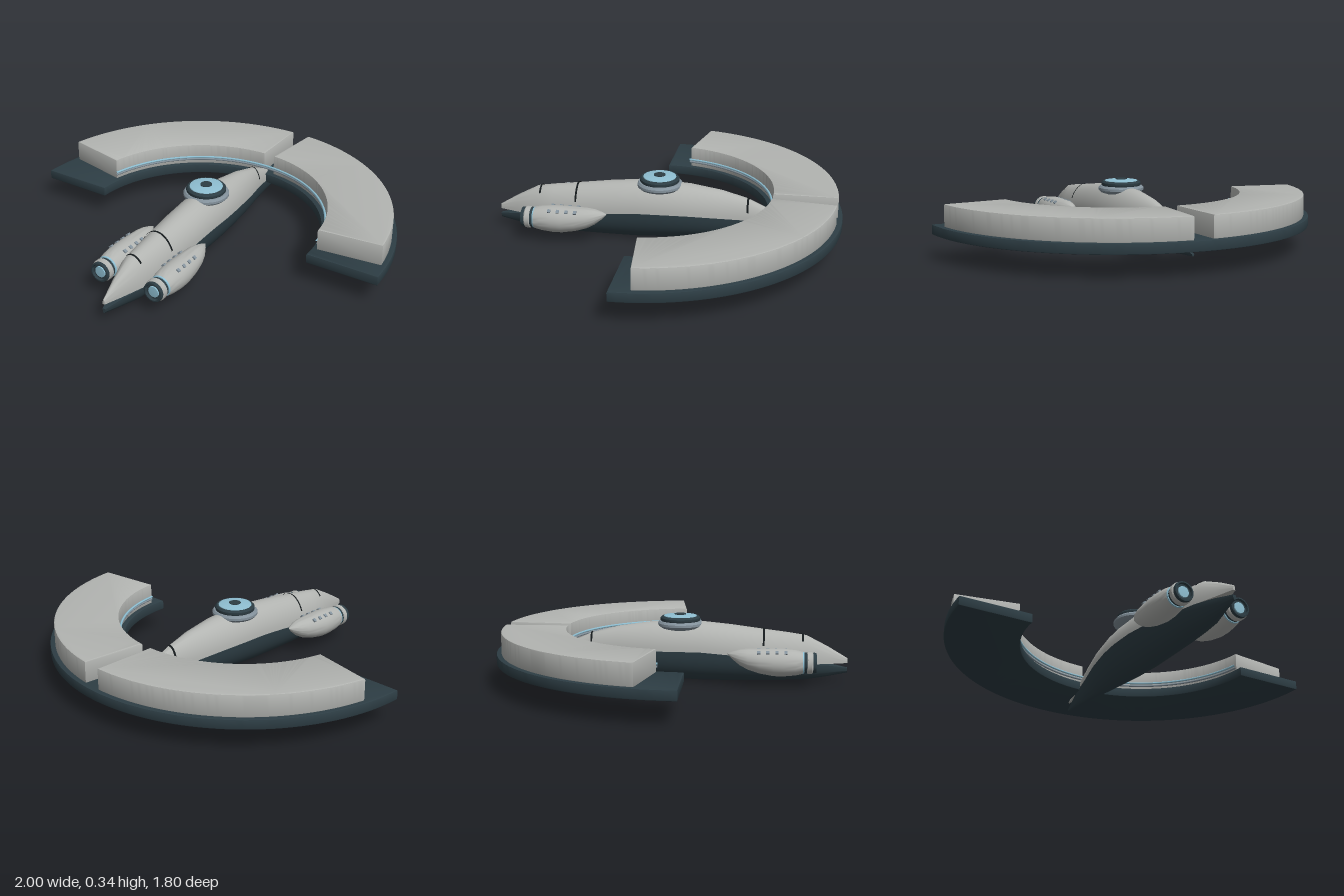
import * as THREE from 'three';
import { toCreasedNormals } from 'three/addons/utils/BufferGeometryUtils.js';

const mat = (name, color, side = THREE.FrontSide) => {
  const m = new THREE.MeshStandardMaterial({ color, side });
  m.name = name;
  return m;
};

// Hull stations from nose to tail: z, half width, top y, seam y, bottom y
const STATIONS = [
  [0.9, 0.006, 0.125, 0.1, 0.05],
  [0.8, 0.038, 0.185, 0.1, 0.03],
  [0.69, 0.072, 0.242, 0.102, 0.012],
  [0.6, 0.085, 0.256, 0.11, 0.008],
  [0.47, 0.096, 0.272, 0.125, 0.004],
  [0.3, 0.106, 0.294, 0.15, 0.002],
  [0.15, 0.11, 0.309, 0.163, 0.002],
  [0, 0.109, 0.31, 0.165, 0.01],
  [-0.12, 0.1, 0.303, 0.163, 0.018],
  [-0.28, 0.077, 0.28, 0.153, 0.028],
  [-0.42, 0.046, 0.244, 0.14, 0.039],
  [-0.55, 0.024, 0.185, 0.124, 0.049],
  [-0.7, 0.004, 0.112, 0.106, 0.058],
];

function stationAt(z) {
  const i = STATIONS.findIndex((s, k) => k > 0 && s[0] <= z);
  const a = STATIONS[i - 1], b = STATIONS[i];
  const t = (z - a[0]) / (b[0] - a[0]);
  return a.map((v, k) => v + (b[k] - v) * t);
}

// Skin rows of points, front to back
function loft(rows, closed) {
  const n = rows[0].length, index = [];
  for (let i = 0; i < rows.length - 1; i++) {
    for (let j = 0; j < (closed ? n : n - 1); j++) {
      const k = (j + 1) % n;
      const a = i * n + j, b = i * n + k, c = a + n, d = b + n;
      index.push(a, c, b, b, c, d);
    }
  }
  const g = new THREE.BufferGeometry();
  g.setAttribute('position', new THREE.Float32BufferAttribute(rows.flat(2), 3));
  g.setIndex(index);
  return toCreasedNormals(g, 0.7);
}

function arc(z, w, h, y, from, to, n = 20) {
  return Array.from({ length: n + 1 }, (_, j) => {
    const a = from + ((to - from) * j) / n;
    return [w * Math.cos(a), y + h * Math.sin(a), z];
  });
}

// Half hull closed by a flat face at the seam and collapsed ends
function halfHull(upper) {
  const from = upper ? 0 : Math.PI;
  const rows = STATIONS.map(([z, w, top, seam, bottom], i) => {
    let edge = seam;
    if (!upper) edge -= i === 0 ? 0.025 : i === 1 ? 0.008 : i === 12 ? 0.038 : 0;
    return arc(z, upper ? w : w + 0.002, upper ? top - edge : edge - bottom, edge, from, from + Math.PI);
  });
  const cap = (row) => {
    const y = (row[0][1] + row[10][1]) / 2;
    return row.map((p) => [0, y, p[2]]);
  };
  return loft([cap(rows[0]), ...rows, cap(rows.at(-1))], true);
}

// Flat ring sector lying in the horizontal plane
function sector(r0, r1, a0, a1, y0, y1, bevel) {
  const s = new THREE.Shape();
  const da = bevel / r0;
  s.absarc(0, 0, r1 - bevel, a0 + da, a1 - da, false);
  s.absarc(0, 0, r0 + bevel, a1 - da, a0 + da, true);
  s.closePath();
  const g = new THREE.ExtrudeGeometry(s, {
    depth: y1 - y0 - 2 * bevel, curveSegments: 48,
    bevelEnabled: true, bevelThickness: bevel, bevelSize: bevel, bevelSegments: 2,
  });
  g.rotateX(-Math.PI / 2).translate(0, y0 + bevel, 0.1);
  return toCreasedNormals(g, 0.5);
}

function lathe(points, segments = 40) {
  const g = new THREE.LatheGeometry(points.map(([r, y]) => new THREE.Vector2(r, y)), segments);
  return toCreasedNormals(g, 0.6);
}

export function createModel() {
  const model = new THREE.Group();
  model.name = 'ringWingShip';
  const grey = mat('hullGrey', 0xb2b4b1);
  const dark = mat('darkSlate', 0x2d3d44);
  const blue = mat('paleBlue', 0x8fbfd2);
  const steel = mat('blueSteel', 0x84929c);
  const black = mat('seamBlack', 0x14191b, THREE.DoubleSide);

  const add = (parent, name, geometry, material, x = 0, y = 0, z = 0) => {
    const m = new THREE.Mesh(geometry, material);
    m.name = name;
    m.position.set(x, y, z);
    parent.add(m);
    return m;
  };

  // Half-ring wing with two raised decks
  add(model, 'wingBase', sector(0.62, 1, 0, Math.PI, 0.118, 0.168, 0.005), dark);
  const span = 1.37;
  add(model, 'leftDeck', sector(0.645, 0.975, 0.105, 0.105 + span, 0.165, 0.278, 0.006), grey);
  add(model, 'rightDeck', sector(0.645, 0.975, Math.PI / 2, Math.PI / 2 + span, 0.165, 0.278, 0.006), grey);

  // Rails along the inner wall
  for (const [name, r, y, m] of [['blueRail', 0.638, 0.207, blue], ['steelRail', 0.642, 0.193, steel]]) {
    const g = new THREE.TorusGeometry(r, 0.006, 8, 72, Math.PI - 0.3);
    g.rotateZ(0.11).rotateX(-Math.PI / 2);
    add(model, name, g, m, 0, y, 0.1);
  }

  // Fuselage
  add(model, 'upperHull', halfHull(true), grey);
  add(model, 'lowerHull', halfHull(false), dark);

  // Panel seams across the upper hull
  for (const [name, z, a] of [['noseSeam', 0.67, 0.9], ['midSeam', 0.47, 0.5], ['tailSeam', -0.42, 0.4]]) {
    const rows = [0.005, -0.005].map((d) => {
      const [, w, top, seam] = stationAt(z + d);
      return arc(z + d, w + 0.004, top - seam + 0.004, seam, a, Math.PI - a);
    });
    add(model, name, loft(rows, false), black);
  }

  // Round turret
  const turret = new THREE.Group();
  turret.name = 'turret';
  turret.position.set(0, 0.265, 0.04);
  model.add(turret);
  add(turret, 'turretBase', lathe([[0, 0], [0.075, 0.002], [0.105, 0.012], [0.117, 0.024], [0.117, 0.036],
    [0.108, 0.046], [0, 0.048]]), steel);
  add(turret, 'turretCollar', lathe([[0.098, 0.044], [0.102, 0.05], [0.102, 0.062], [0.094, 0.07], [0, 0.07]]), dark);
  add(turret, 'turretLens', lathe([[0.086, 0.068], [0.084, 0.073], [0.055, 0.078], [0, 0.079]]), blue);
  add(turret, 'turretPupil', new THREE.CylinderGeometry(0.03, 0.03, 0.006, 32), dark, 0, 0.079, 0);

  // Engine pods
  const podShape = lathe([[0, 0.287], [0.018, 0.31], [0.04, 0.35], [0.053, 0.39], [0.063, 0.45], [0.07, 0.52],
    [0.07, 0.57], [0.064, 0.63], [0.056, 0.665], [0.05, 0.67]]);
  podShape.rotateX(Math.PI / 2);
  // Sweep the pointed end upward
  const p = podShape.attributes.position;
  for (let i = 0; i < p.count; i++) {
    const t = Math.max(0, (0.55 - p.getZ(i)) / 0.26);
    p.setY(i, p.getY(i) + 0.04 * t * t);
  }
  const podSkin = toCreasedNormals(podShape, 0.6);
  const ringPart = (points) => lathe(points, 32).rotateX(Math.PI / 2);
  for (const side of [1, -1]) {
    const pod = new THREE.Group();
    pod.name = side > 0 ? 'leftEngine' : 'rightEngine';
    pod.position.set(side * 0.157, 0.128, 0);
    model.add(pod);
    add(pod, 'podShell', podSkin, grey);
    add(pod, 'blueBand', ringPart([[0.05, 0.66], [0.056, 0.664], [0.054, 0.672], [0.046, 0.674]]), blue);
    add(pod, 'darkBand', ringPart([[0.046, 0.67], [0.051, 0.674], [0.053, 0.684], [0.05, 0.688]]), dark);
    add(pod, 'nozzleRing', ringPart([[0.05, 0.685], [0.056, 0.69], [0.056, 0.71], [0.05, 0.717]]), grey);
    add(pod, 'nozzleLip', ringPart([[0.05, 0.714], [0.052, 0.722], [0.05, 0.733], [0.043, 0.734], [0.04, 0.722],
      [0, 0.72]]), dark);
    add(pod, 'nozzleGlow', ringPart([[0.03, 0.719], [0.028, 0.727], [0, 0.729]]), blue);
    // Vent studs in two rows
    for (const sx of [1, -1]) {
      for (const z of [0.445, 0.49, 0.535, 0.58]) {
        const r = z < 0.5 ? 0.064 : 0.068;
        const stud = add(pod, 'ventStud', new THREE.BoxGeometry(0.018, 0.014, 0.016), steel,
          sx * 0.041, Math.sqrt(r * r - 0.041 * 0.041) + (z < 0.5 ? 0.005 : 0), z);
        stud.rotation.z = -sx * 0.64;
      }
    }
  }
  return model;
}
